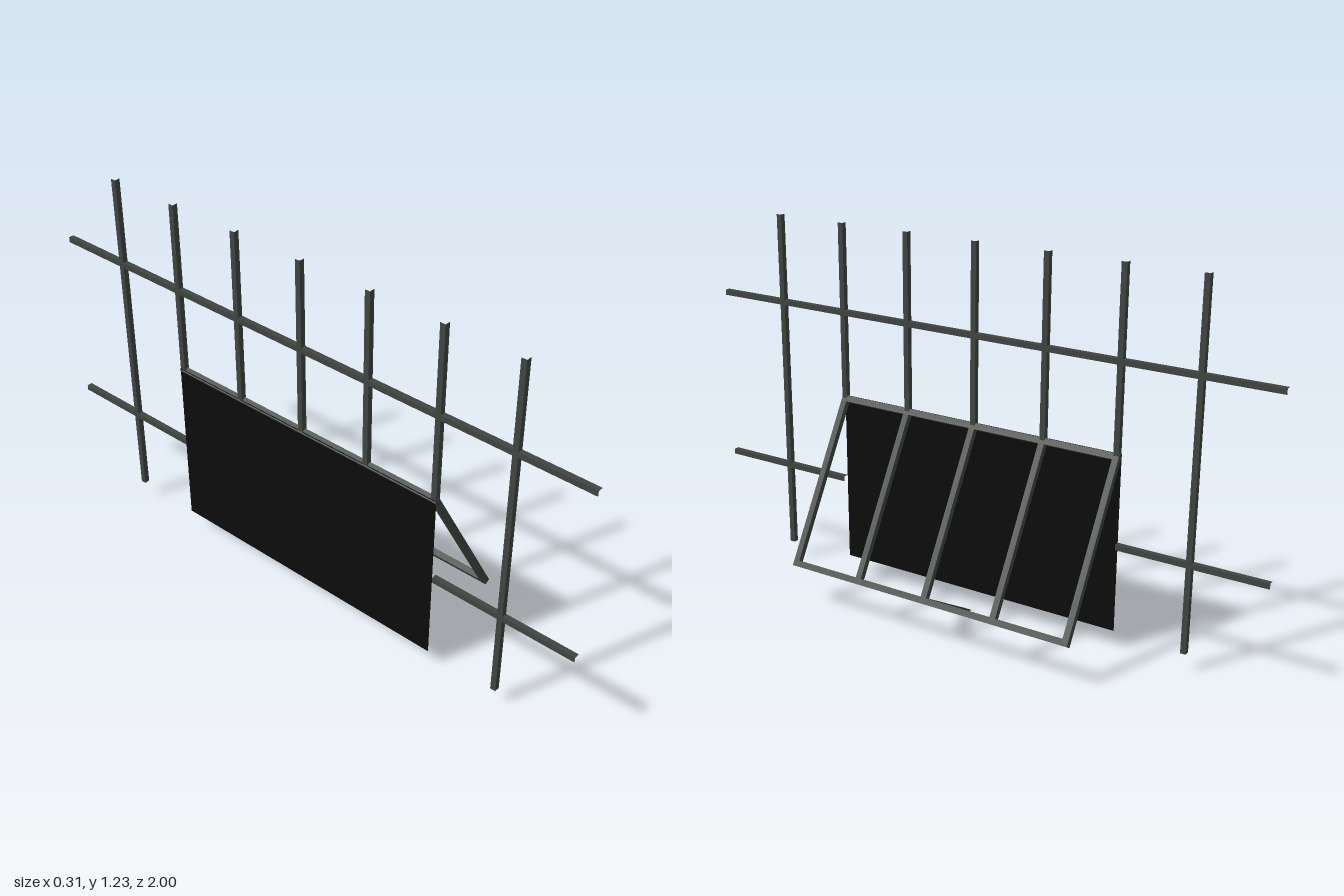
import * as THREE from 'three';

const iron = new THREE.MeshStandardMaterial({ color: 0x3f4540 });
iron.name = 'dark iron';
iron.flatShading = true;
const black = new THREE.MeshStandardMaterial({ color: 0x0c0c0c });
black.name = 'black sheet';
black.side = THREE.DoubleSide;

const W = 0.018;        // lattice bar thickness
const X = -0.146;       // lattice plane
const TOP = 0.645, BOTTOM = 0.06, HALF = 0.51; // opening covered by the sheet

// Open-ended square tube lying along 'y' or 'z' from a to b
function tube(name, axis, a, b, fixed) {
  const g = new THREE.CylinderGeometry(W / Math.SQRT2, W / Math.SQRT2, b - a, 4, 1, true);
  g.rotateY(Math.PI / 4);
  if (axis === 'z') g.rotateX(Math.PI / 2);
  const m = new THREE.Mesh(g, iron);
  m.name = name;
  const mid = (a + b) / 2;
  if (axis === 'y') m.position.set(X, mid, fixed);
  else m.position.set(X, fixed, mid);
  return m;
}

// Run of tube broken at each crossing
function run(group, name, axis, a, b, cuts, fixed) {
  let start = a;
  for (const c of cuts.filter((v) => v > a && v < b)) {
    group.add(tube(name, axis, start, c - W / 2, fixed));
    start = c + W / 2;
  }
  group.add(tube(name, axis, start, b, fixed));
}

// Solid bar
function bar(name, w, h, d, x, y, z) {
  const m = new THREE.Mesh(new THREE.BoxGeometry(w, h, d), iron);
  m.name = name;
  m.position.set(x, y, z);
  return m;
}

export function createModel() {
  const model = new THREE.Group();
  model.name = 'railing with tilted grate';

  // Fixed lattice
  const lattice = new THREE.Group();
  lattice.name = 'lattice';
  const rails = [0.35, 0.931];
  const posts = [-0.75, -0.5, -0.25, 0, 0.25, 0.5, 0.75];
  for (const z of posts) {
    const low = Math.abs(z) > HALF ? BOTTOM : TOP - 0.01;
    run(lattice, 'upright', 'y', low, 1.225, rails, z);
  }
  run(lattice, 'upperRail', 'z', -1, 1, posts, rails[1]);
  run(lattice, 'lowerRail', 'z', -1, -HALF, posts, rails[0]);
  run(lattice, 'lowerRail', 'z', HALF, 1, posts, rails[0]);

  // Faces closing the front and back of each crossing
  for (const y of rails) for (const z of posts) {
    if (y < TOP && Math.abs(z) < HALF) continue;
    for (const s of [-1, 1]) {
      const p = new THREE.Mesh(new THREE.PlaneGeometry(W, W), iron);
      p.name = 'crossing';
      p.rotation.y = s * Math.PI / 2;
      p.position.set(X + s * W / 2, y, z);
      lattice.add(p);
    }
  }
  model.add(lattice);

  // Sheet behind the grate
  const sheet = new THREE.Mesh(new THREE.PlaneGeometry(2 * HALF, TOP - BOTTOM), black);
  sheet.name = 'backSheet';
  sheet.rotation.y = Math.PI / 2;
  sheet.position.set(X - W / 2, (TOP + BOTTOM) / 2, 0);
  model.add(sheet);

  // Tilted grate, hinged at its top edge; local -y runs down the slope
  const grate = new THREE.Group();
  grate.name = 'grate';
  const T = 0.02, L = 0.566;
  grate.position.set(-0.145, 0.636, 0);
  grate.rotation.z = Math.PI / 6;
  for (const z of [-0.5, -0.25, 0, 0.25, 0.5])
    grate.add(bar('grateBar', T, L, T, 0, -L / 2, z));
  grate.add(bar('grateTopRail', T, T, 1.02, 0, 0, 0));
  grate.add(bar('grateBottomRail', T, T, 1.02, 0, -L, 0));

  // Prop square to the grate at its lower edge
  grate.add(bar('prop', 0.28, T, 0.03, -0.14, -L, 0));
  model.add(grate);

  return model;
}
